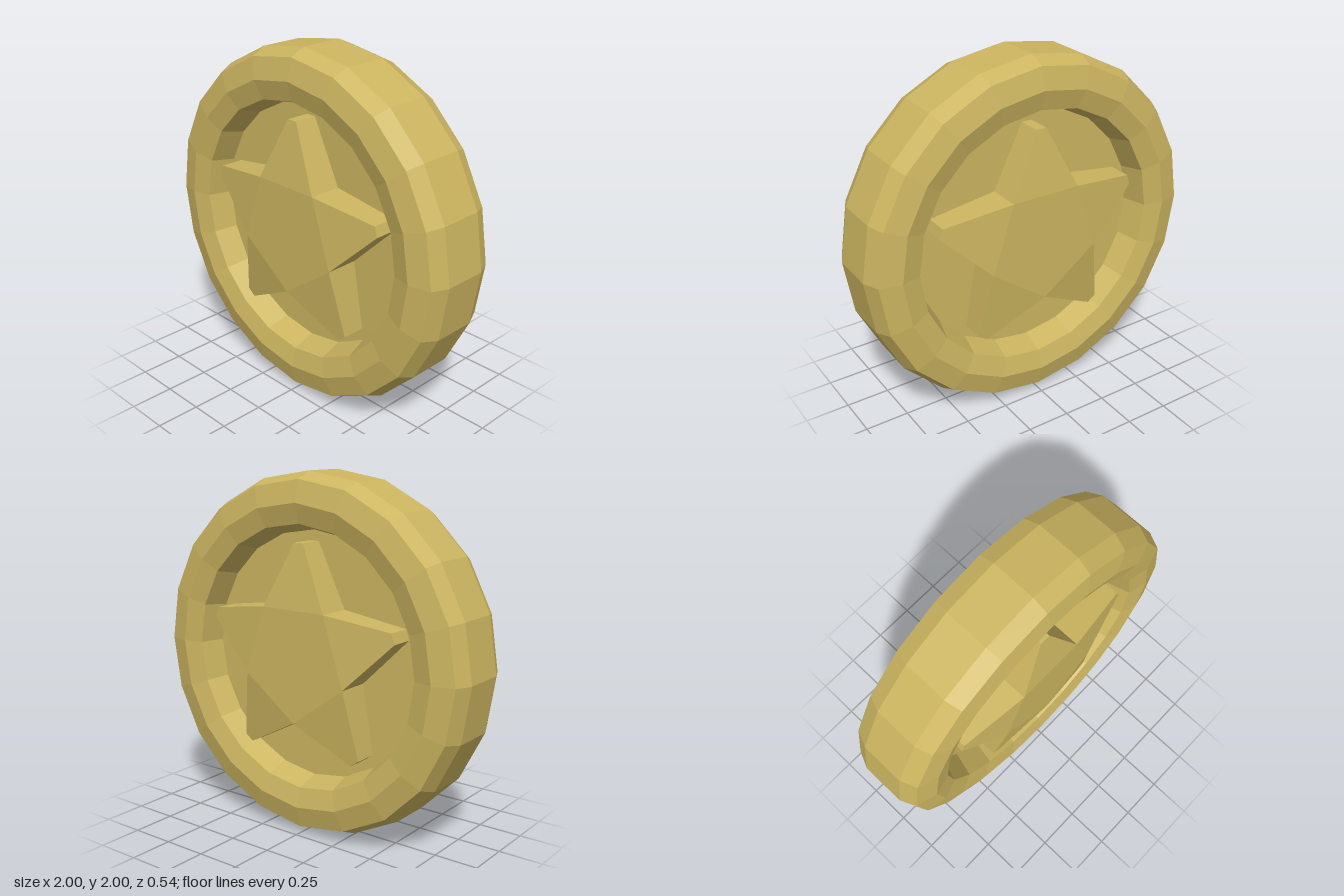
import * as THREE from 'three';

const FLOOR = 0.08;      // height of the recessed face
const STAR_TOP = 0.27;   // raised centre of the star
const STAR_TIP = 0.215;  // lower height at the arm ends

// Coin body: half profile (radius, depth), mirrored and turned around its axis
function bodyGeometry() {
  const half = [[0, FLOOR], [0.69, FLOOR], [0.73, 0.215], [0.84, 0.245], [0.96, 0.215], [1, 0.125]];
  const back = half.map(([r, z]) => new THREE.Vector2(r, -z));
  const front = half.map(([r, z]) => new THREE.Vector2(r, z)).reverse();
  return new THREE.LatheGeometry([...back, ...front], 20).rotateX(Math.PI / 2);
}

// Star with blunt arms that slope down from a flat pentagon
function starGeometry() {
  const pos = [];
  const quad = (a, b, c, d) => pos.push(...a, ...b, ...c, ...a, ...c, ...d);
  const at = (angle, r, side, z) => [
    Math.cos(angle) * r - Math.sin(angle) * side,
    Math.sin(angle) * r + Math.cos(angle) * side,
    z,
  ];
  const base = (p) => [p[0], p[1], FLOOR - 0.01];
  const step = Math.PI / 5;
  for (let i = 0; i < 5; i++) {
    const angle = Math.PI / 2 + i * step * 2;
    const rim = [
      at(angle - step, 0.344, 0, STAR_TOP),
      at(angle, 0.63, -0.03, STAR_TIP),
      at(angle, 0.63, 0.03, STAR_TIP),
      at(angle + step, 0.344, 0, STAR_TOP),
    ];
    pos.push(0, 0, STAR_TOP, ...rim[0], ...rim[3]);
    quad(...rim);
    // side walls
    for (let k = 0; k < 3; k++) quad(base(rim[k]), base(rim[k + 1]), rim[k + 1], rim[k]);
  }
  const geo = new THREE.BufferGeometry();
  geo.setAttribute('position', new THREE.Float32BufferAttribute(pos, 3));
  geo.computeVertexNormals();
  return geo;
}

export function createModel() {
  const gold = new THREE.MeshStandardMaterial({ color: 0xccb560, flatShading: true });
  const coin = new THREE.Group();
  coin.name = 'coin';

  const body = new THREE.Mesh(bodyGeometry(), gold);
  body.name = 'coinBody';
  coin.add(body);

  // the same star on both faces
  const starGeo = starGeometry();
  ['frontStar', 'backStar'].forEach((name, i) => {
    const star = new THREE.Mesh(starGeo, gold);
    star.name = name;
    star.rotation.y = i * Math.PI;
    coin.add(star);
  });

  coin.position.y = 1;
  const model = new THREE.Group();
  model.add(coin);
  return model;
}
